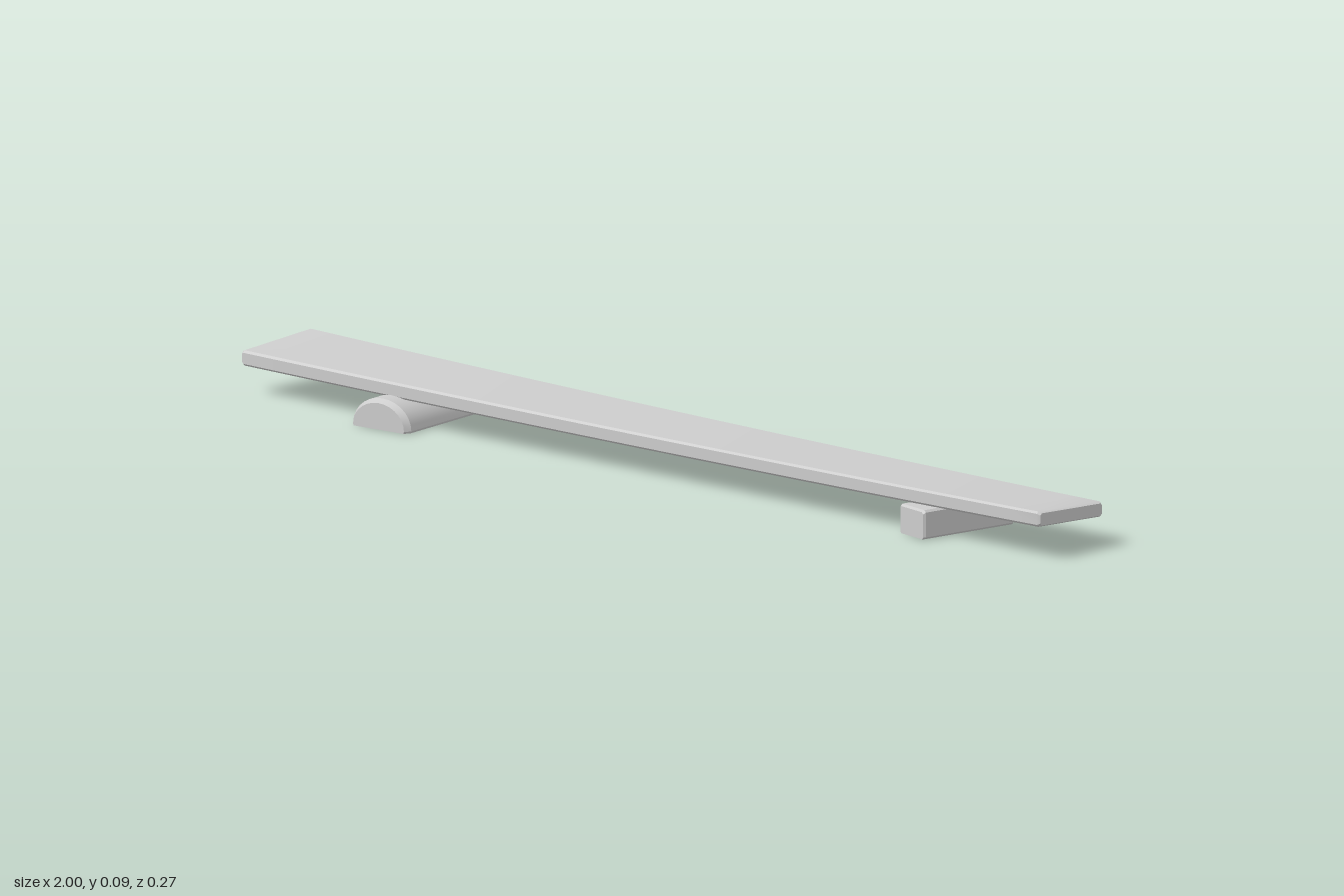
import * as THREE from 'three';
import { toCreasedNormals } from 'three/addons/utils/BufferGeometryUtils.js';

// Skin a list of equal-length rings (counter-clockwise about the direction of travel) and cap both ends.
function loft(rings) {
  const n = rings[0].length;
  const pos = [];
  const tri = (...pts) => pts.forEach((p) => pos.push(p.x, p.y, p.z));
  for (let i = 0; i < rings.length - 1; i++) {
    for (let j = 0; j < n; j++) {
      const k = (j + 1) % n;
      tri(rings[i][j], rings[i][k], rings[i + 1][k]);
      tri(rings[i][j], rings[i + 1][k], rings[i + 1][j]);
    }
  }
  const first = rings[0];
  const last = rings[rings.length - 1];
  for (let j = 1; j < n - 1; j++) {
    tri(first[0], first[j + 1], first[j]);
    tri(last[0], last[j], last[j + 1]);
  }
  const g = new THREE.BufferGeometry();
  g.setAttribute('position', new THREE.Float32BufferAttribute(pos, 3));
  return toCreasedNormals(g, 0.5);
}

// Rectangle with chamfered corners, counter-clockwise, centred on the origin.
function chamferedRect(w, h, c) {
  const a = w / 2, b = h / 2;
  return [[a, -b + c], [a, b - c], [a - c, b], [-a + c, b], [-a, b - c], [-a, -b + c], [-a + c, -b], [a - c, -b]];
}

// Long board: sags in the middle, twists along its length and is wider at its right end.
function plankGeometry() {
  const stations = [-1, -0.994];
  for (let i = 1; i < 24; i++) stations.push(-1 + i / 12);
  stations.push(0.994, 1);
  return loft(stations.map((x) => {
    const t = (x + 1) / 2;
    const inset = Math.abs(x) === 1 ? 0.006 : 0;
    const width = THREE.MathUtils.lerp(0.188, 0.174, t) - inset;
    const midZ = THREE.MathUtils.lerp(-0.01, 0.003, t);
    const midY = 0.068 + 0.005 * x * x;
    const tilt = 0.055 * x;
    return chamferedRect(width, 0.029 - inset, 0.004).map(([u, v]) =>
      new THREE.Vector3(x, midY + v - u * tilt, midZ - u));
  }));
}

// Support lying along z, with its ends slightly eased in.
function supportGeometry(profile, length, ease, shrink) {
  const h = length / 2;
  return loft([[-h, shrink], [-h + ease, 1], [h - ease, 1], [h, shrink]].map(([z, s]) =>
    profile.map(([x, y]) => new THREE.Vector3(x * s, y * s, z))));
}

export function createModel() {
  const group = new THREE.Group();
  group.name = 'plankBench';
  const wood = new THREE.MeshStandardMaterial({ color: 0xcccccc });
  wood.name = 'pale grey';

  const add = (name, geometry, x = 0, y = 0, z = 0, turn = 0) => {
    const mesh = new THREE.Mesh(geometry, wood);
    mesh.name = name;
    mesh.position.set(x, y, z);
    mesh.rotation.y = turn;
    group.add(mesh);
  };

  add('plank', plankGeometry());

  // Half-round log under the right end
  const halfRound = [];
  for (let i = 0; i <= 14; i++) {
    const a = (i / 14) * Math.PI;
    halfRound.push([0.067 * Math.cos(a), 0.004 + 0.053 * Math.sin(a)]);
  }
  halfRound.push([-0.065, 0], [0.065, 0]);
  add('halfLogSupport', supportGeometry(halfRound, 0.262, 0.012, 0.88), -0.628, 0, -0.003, 0.09);

  // Squared block under the left end
  const block = chamferedRect(0.075, 0.055, 0.004).map(([x, y]) => [x, y + 0.0275]);
  add('blockSupport', supportGeometry(block, 0.209, 0.004, 0.93), 0.71, 0, -0.002, -0.18);

  return group;
}
